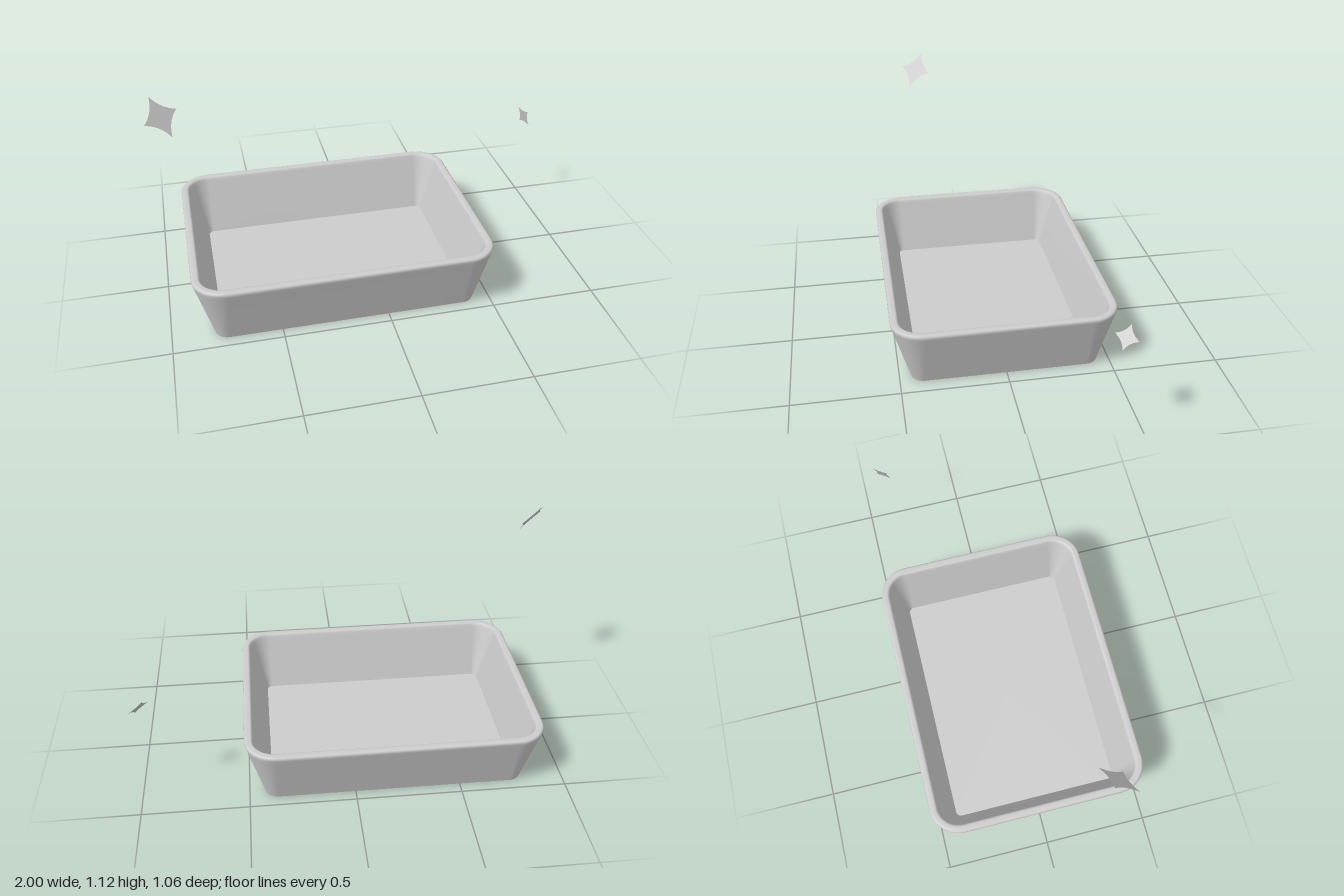
import * as THREE from 'three';

const grey = new THREE.MeshStandardMaterial({ color: 0xcccccc });
grey.name = 'light grey';
const greyThin = grey;
greyThin.side = THREE.DoubleSide;

const CX = 0.555, CZ = 0.385, STEPS = 12; // corner centres and corner smoothness

// Rounded rectangle at height y whose corners have radius r
function ring(r, y) {
  const pts = [];
  [[1, 1], [-1, 1], [-1, -1], [1, -1]].forEach(([sx, sz], k) => {
    for (let i = 0; i <= STEPS; i++) {
      const a = (k + i / STEPS) * Math.PI / 2;
      pts.push(sx * CX + r * Math.cos(a), y, sz * CZ + r * Math.sin(a));
    }
  });
  return pts;
}

function build(positions, index) {
  const g = new THREE.BufferGeometry();
  g.setAttribute('position', new THREE.Float32BufferAttribute(positions, 3));
  g.setIndex(index);
  g.computeVertexNormals();
  return g;
}

// Skin joining one ring per [radius, height] point of the profile
function loft(profile) {
  const n = 4 * (STEPS + 1), index = [];
  for (let i = 0; i < profile.length - 1; i++) {
    for (let j = 0; j < n; j++) {
      const a = i * n + j, b = i * n + (j + 1) % n;
      index.push(a, a + n, b, b, a + n, b + n);
    }
  }
  return build(profile.flatMap(([r, y]) => ring(r, y)), index);
}

// Flat panel filling a ring
function panel(r, y, up) {
  const n = 4 * (STEPS + 1), index = [];
  for (let j = 0; j < n; j++) {
    const a = j + 1, b = (j + 1) % n + 1;
    index.push(0, up ? b : a, up ? a : b);
  }
  return build([0, y, 0, ...ring(r, y)], index);
}

// Four-pointed sparkle with concave sides
function sparkleGeometry(size) {
  const s = new THREE.Shape();
  const c = size * 0.28;
  s.moveTo(size, 0);
  s.quadraticCurveTo(c, c, 0, size);
  s.quadraticCurveTo(-c, c, -size, 0);
  s.quadraticCurveTo(-c, -c, 0, -size);
  s.quadraticCurveTo(c, -c, size, 0);
  return new THREE.ShapeGeometry(s, 10);
}

export function createModel() {
  const model = new THREE.Group();
  const add = (parent, name, geometry, material) => {
    const mesh = new THREE.Mesh(geometry, material);
    mesh.name = name;
    parent.add(mesh);
    return mesh;
  };

  // Tray: sloping outer wall, rounded rim, sloping inner wall
  const tray = new THREE.Group();
  tray.name = 'tray';
  tray.position.x = -0.189;
  model.add(tray);
  add(tray, 'trayWall', loft([
    [0.06, 0], [0.141, 0.28], [0.1445, 0.291], [0.1435, 0.299], [0.139, 0.304], [0.133, 0.3055],
    [0.117, 0.3055], [0.111, 0.304], [0.1065, 0.299], [0.104, 0.291], [0.1, 0.28], [0.025, 0.02],
  ]), grey);
  add(tray, 'trayFloor', panel(0.025, 0.02, true), grey);
  add(tray, 'trayBase', panel(0.06, 0, false), grey);

  // Floating sparkles, all facing the same diagonal
  for (const [name, size, x, y, z] of [
    ['largeSparkle', 0.096, -0.931, 1.044, 0.261],
    ['smallSparkle', 0.056, 0.957, 0.526, -0.382],
  ]) {
    const sparkle = add(model, name, sparkleGeometry(size), greyThin);
    sparkle.position.set(x, y, z);
    sparkle.lookAt(x + 1, y + 1, z + 1);
  }
  return model;
}
